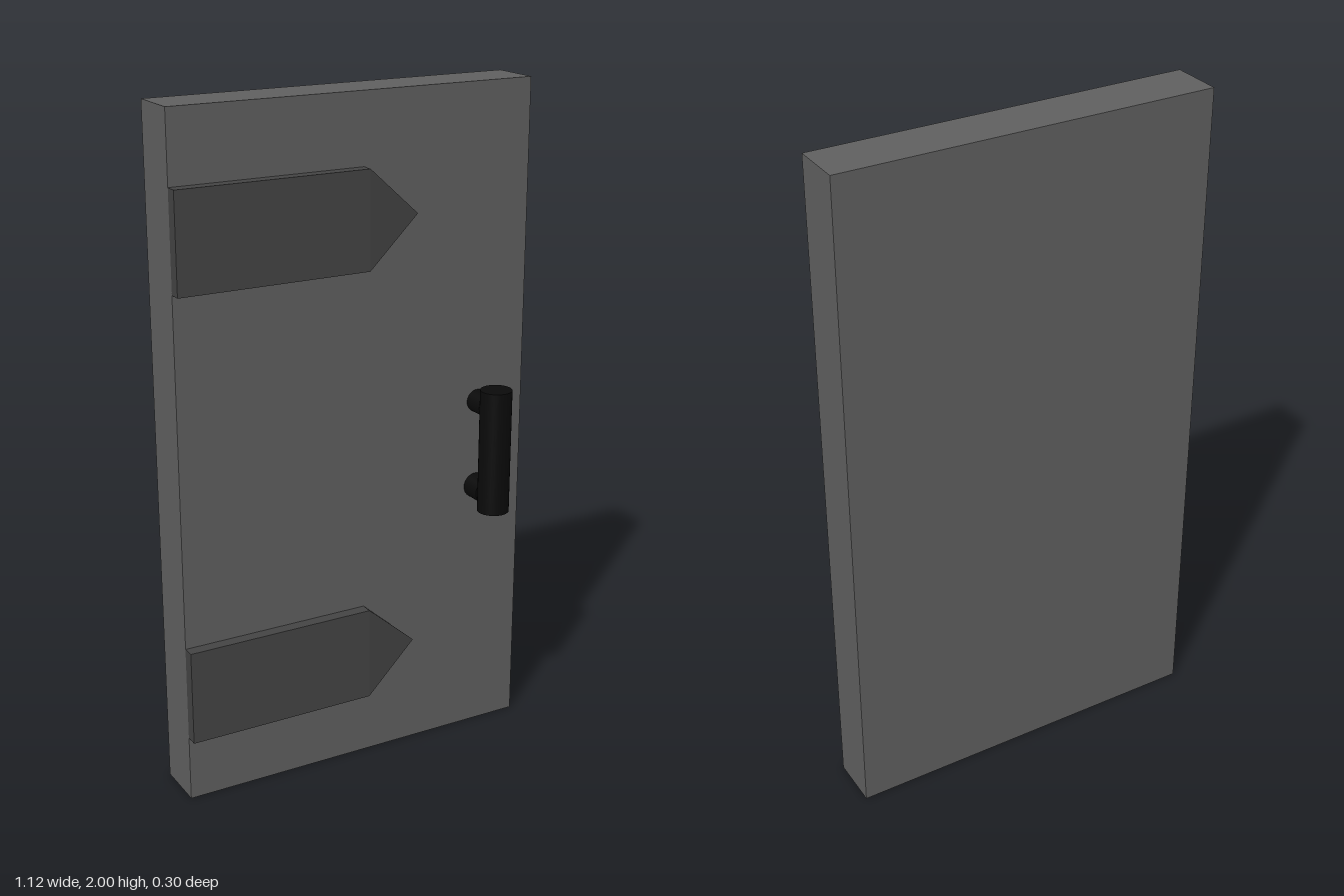
import * as THREE from 'three';
import { ConvexGeometry } from 'three/addons/geometries/ConvexGeometry.js';

const material = (color) => new THREE.MeshStandardMaterial({ color });

function addPart(parent, name, geometry, mat, x, y, z) {
  const mesh = new THREE.Mesh(geometry, mat);
  mesh.name = name;
  mesh.position.set(x, y, z);
  parent.add(mesh);
  return mesh;
}

// Flat bar whose free end tapers to a point in both height and thickness
function strapGeometry(left, shoulder, tip, height, depth) {
  const points = [new THREE.Vector3(tip, 0, depth / 2)];
  for (const x of [left, shoulder])
    for (const y of [-height / 2, height / 2])
      for (const z of [0, depth]) points.push(new THREE.Vector3(x, y, z));
  return new ConvexGeometry(points);
}

export function createModel() {
  const door = new THREE.Group();
  door.name = 'door';
  const panelGrey = material(0x606060);
  const strapGrey = material(0x444444);
  const handleBlack = material(0x0a0a0a);

  // Door slab
  addPart(door, 'panel', new THREE.BoxGeometry(1.116, 2, 0.155), panelGrey, 0, 1, -0.0755);

  // Hinge straps
  const strap = strapGeometry(-0.558, 0.018, 0.18, 0.284, 0.037);
  addPart(door, 'upperHingeStrap', strap, strapGrey, 0, 1.653, 0.001);
  addPart(door, 'lowerHingeStrap', strap, strapGrey, 0, 0.341, 0.001);

  // Handle: upright grip on two round posts
  const handle = new THREE.Group();
  handle.name = 'handle';
  handle.position.x = 0.402;
  door.add(handle);
  addPart(handle, 'grip', new THREE.CylinderGeometry(0.047, 0.047, 0.376, 32), handleBlack, 0, 0.938, 0.103);
  const posts = [['upperPost', 1.065, 0.034], ['lowerPost', 0.797, 0.038]];
  for (const [name, y, radius] of posts) {
    const post = new THREE.CylinderGeometry(radius, radius, 0.067, 32).rotateX(Math.PI / 2);
    addPart(handle, name, post, handleBlack, 0, y, 0.0335);
  }
  return door;
}
